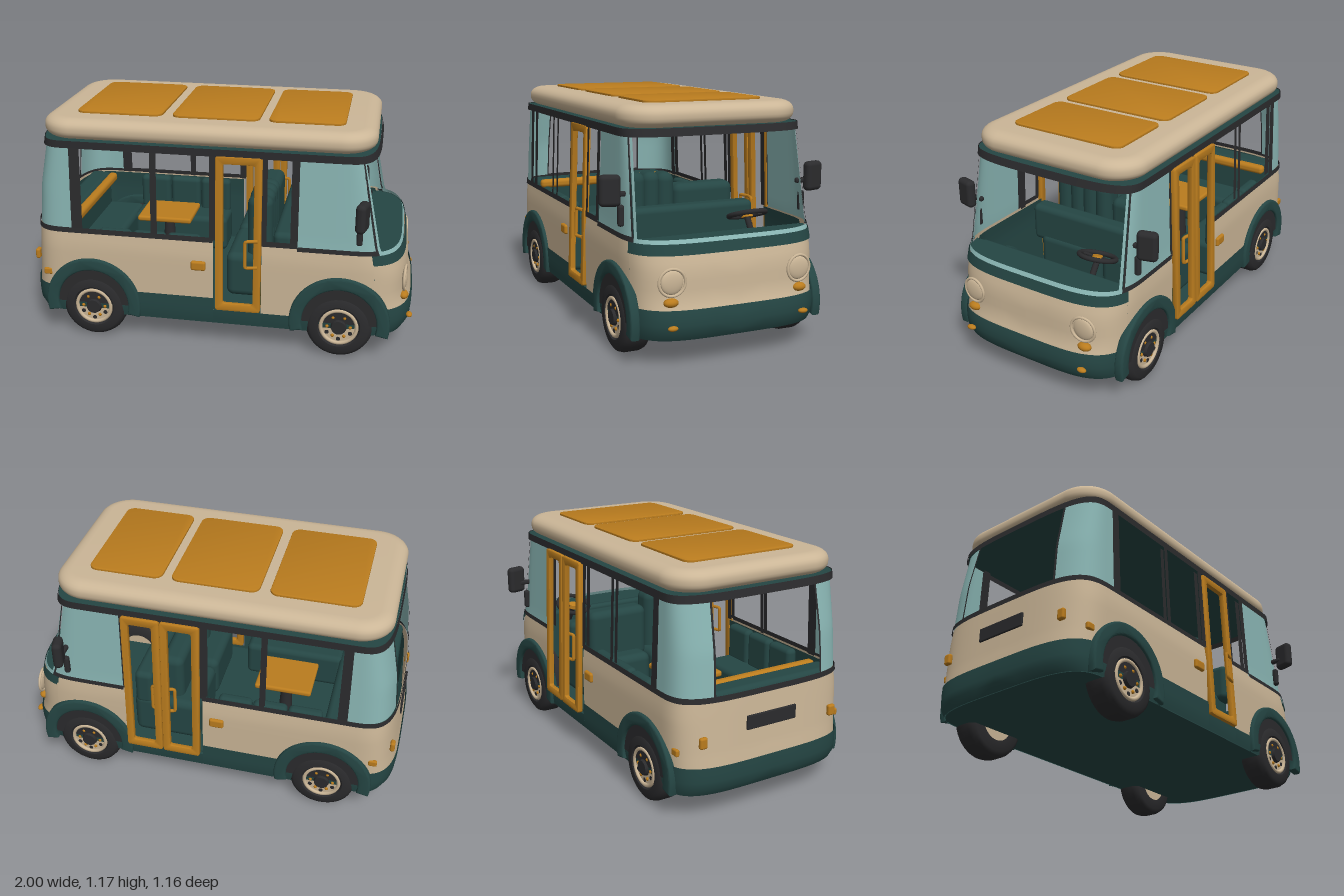
import * as THREE from 'three';
import { toCreasedNormals } from 'three/addons/utils/BufferGeometryUtils.js';
import { RoundedBoxGeometry } from 'three/addons/geometries/RoundedBoxGeometry.js';

const mat = (name, color) => new THREE.MeshStandardMaterial({ name, color, side: THREE.DoubleSide });

// Body profiles: [height, value]
const FRONT = [[0.13, 0.965], [0.17, 0.99], [0.265, 0.992], [0.29, 0.968], [0.45, 0.962], [0.57, 0.93], [0.6, 0.91], [1.06, 0.775]];
const REAR = [[0.13, 0.965], [0.17, 0.99], [0.265, 0.992], [0.29, 0.985], [0.57, 0.965], [0.8, 0.945], [1.06, 0.89]];
const WIDTH = [[0.13, 0.468], [0.18, 0.477], [0.5, 0.48], [0.6, 0.469], [1.06, 0.452]];
const XF = 0.6, XR = -0.72; // where the front and rear corners begin

function at(table, y) {
  if (y <= table[0][0]) return table[0][1];
  for (let i = 1; i < table.length; i++) {
    const [y0, v0] = table[i - 1], [y1, v1] = table[i];
    if (y <= y1) return v0 + (v1 - v0) * (y - y0) / (y1 - y0);
  }
  return table[table.length - 1][1];
}

// Point on the body outline: a is x along the side, then one more unit round each end to the centre line
function hull(a, y, side, off = 0) {
  const w = at(WIDTH, y) + off;
  const start = a > XF ? XF : a < XR ? XR : a;
  const t = Math.min(Math.abs(a - start), 1) * Math.PI / 2;
  const reach = a > XF ? at(FRONT, y) + off - XF : -(at(REAR, y) + off + XR);
  const c = Math.sqrt(Math.max(0, Math.cos(t))), s = Math.sqrt(Math.sin(t));
  return new THREE.Vector3(start + reach * s, y, side * w * c);
}

function stops(a0, a1) {
  const list = [a0, a1];
  for (let k = 0; k <= 24; k++) list.push(XF + k / 24, XR - k / 24);
  return [...new Set(list.filter(a => a >= a0 && a <= a1))].sort((p, q) => p - q);
}

// Curved wall patch between two heights
function wall(y0, y1, a0, a1, side, off) {
  const as = stops(a0, a1), rows = Math.max(1, Math.ceil((y1 - y0) / 0.04));
  const pos = [], idx = [], n = as.length;
  for (let r = 0; r <= rows; r++)
    for (const a of as) pos.push(...hull(a, y0 + (y1 - y0) * r / rows, side, off).toArray());
  for (let r = 0; r < rows; r++)
    for (let i = 0; i < n - 1; i++) {
      const p = r * n + i, q = p + n;
      if (side > 0) idx.push(p, p + 1, q, p + 1, q + 1, q);
      else idx.push(p, q, p + 1, p + 1, q, q + 1);
    }
  const g = new THREE.BufferGeometry();
  g.setAttribute('position', new THREE.Float32BufferAttribute(pos, 3));
  g.setIndex(idx);
  g.computeVertexNormals();
  return g;
}

// Horizontal plate following the body outline
function plate(y, thick, off, a0 = XR - 1, a1 = XF + 1) {
  const as = stops(a0, a1);
  const pts = [...as.map(a => hull(a, y, 1, off)), ...as.reverse().map(a => hull(a, y, -1, off))];
  const g = new THREE.ExtrudeGeometry(new THREE.Shape(pts.map(p => new THREE.Vector2(p.x, -p.z))), { depth: thick, bevelEnabled: false });
  return g.rotateX(-Math.PI / 2).translate(0, y, 0);
}

function roundRect(x0, y0, x1, y1, r, Kind = THREE.Shape) {
  const s = new Kind(), h = Math.PI / 2;
  s.absarc(x1 - r, y1 - r, r, 0, h);
  s.absarc(x0 + r, y1 - r, r, h, 2 * h);
  s.absarc(x0 + r, y0 + r, r, 2 * h, 3 * h);
  s.absarc(x1 - r, y0 + r, r, 3 * h, 4 * h);
  s.closePath();
  return s;
}

export function createModel() {
  const van = new THREE.Group();
  van.name = 'minibus';
  const cream = mat('cream paint', 0xcbb697), green = mat('dark green', 0x254644), gold = mat('amber', 0xba7c1e);
  const glass = mat('pale blue', 0x8ab6b4), black = mat('charcoal', 0x2b2b2d);
  const add = (name, geo, m, x = 0, y = 0, z = 0, parent = van) => {
    const mesh = new THREE.Mesh(geo, m);
    mesh.name = name;
    mesh.position.set(x, y, z);
    parent.add(mesh);
    return mesh;
  };
  const box = (name, m, sx, sy, sz, x, y, z, r = 0.015, parent = van) =>
    add(name, new RoundedBoxGeometry(sx, sy, sz, 3, Math.min(r, sx / 2.1, sy / 2.1, sz / 2.1)), m, x, y, z, parent);

  const END_F = XF + 1, END_R = XR - 1;
  for (const s of [1, -1]) {
    const doorEnd = s > 0 ? 0.245 : 0.41;
    const w = (name, m, y0, y1, a0, a1, off = 0) => add(name, wall(y0, y1, a0, a1, s, off), m);
    // Lower body
    w('skirt', green, 0.13, 0.275, END_R, 0, 0.006);
    w('doorSill', green, 0.13, 0.21, 0, doorEnd, 0.006);
    w('skirt', green, 0.13, s > 0 ? 0.21 : 0.275, doorEnd, 0.41, 0.006);
    w('skirt', green, 0.13, 0.275, 0.41, END_F, 0.006);
    for (const [m, off, base] of [[cream, 0, 0.2], [green, -0.02, 0.14]]) {
      const name = m === cream ? 'bodyPanel' : 'innerLining';
      w(name, m, base, 0.585, END_R, 0, off);
      w(name, m, base, 0.585, doorEnd, 0.8, off);
      w(name, m, base, 0.52, 0.8, END_F, off);
    }
    // Belt line, cowl edge and roof seal
    w('beltLine', black, 0.578, 0.605, END_R, 0, 0.006);
    w('beltLine', black, 0.578, 0.605, doorEnd, 0.42, 0.006);
    w('beltLine', black, 0.565, 0.588, 0.42, 0.86, 0.006);
    w('cowlBand', green, 0.515, 0.565, 0.8, END_F, 0.006);
    w('windscreenSill', glass, 0.563, 0.582, 0.86, END_F, 0.002);
    w('roofSeal', black, 1.025, 1.062, END_R, END_F, 0.012);
    // Corner glazing and pillars
    w('frontCornerGlass', glass, 0.575, 1.04, 0.42, 0.86);
    w('windscreenPillar', black, 0.56, 1.04, 0.855, 0.885, 0.005);
    w('windscreenEdge', glass, 0.565, 1.04, 0.885, 0.93);
    w('rearCornerGlass', glass, 0.6, 1.04, XR - 0.72, XR);
    w('rearWindowEdge', black, 0.6, 1.04, XR - 0.74, XR - 0.72, 0.003);
    for (const [a0, a1] of [[-0.722, -0.685], [-0.318, -0.292], [-0.02, 0.012], [0.385, 0.422]])
      for (const off of [0.004, -0.02]) w('windowPillar', black, 0.59, 1.04, a0, a1, off);
    if (s > 0) w('doorPost', black, 0.59, 1.04, 0.243, 0.268, 0.004);

    // Door leaves with pull handles
    const leaves = s > 0 ? [[0.012, 0.242, 0.19]] : [[0.012, 0.209, 0.175], [0.213, 0.408, 0.245]];
    for (const [x0, x1, hx] of leaves) {
      const leaf = new THREE.Group();
      leaf.name = 'doorLeaf';
      const shape = roundRect(x0 + 0.005, 0.005, x1 - 0.005, 0.81, 0.008);
      shape.holes.push(roundRect(x0 + 0.033, 0.035, x1 - 0.033, 0.78, 0.015, THREE.Path));
      const frame = new THREE.ExtrudeGeometry(shape, { depth: 0.018, bevelSize: 0.005, bevelThickness: 0.005, bevelSegments: 2, curveSegments: 4 });
      add('doorFrame', toCreasedNormals(frame.translate(0, 0, -0.014), 0.6), gold, 0, 0, 0, leaf);
      const dir = hx > (x0 + x1) / 2 ? 1 : -1;
      const pts = [[dir * 0.035, 0.25], [dir * -0.02, 0.25], [dir * -0.025, 0.26], [dir * -0.025, 0.38], [dir * -0.02, 0.39], [dir * 0.035, 0.39]];
      const curve = new THREE.CatmullRomCurve3(pts.map(([x, y], i) => new THREE.Vector3(hx + x, y, i % 5 ? 0.022 : 0.008)), false, 'catmullrom', 0.1);
      add('doorHandle', new THREE.TubeGeometry(curve, 30, 0.009, 8), gold, 0, 0, 0, leaf);
      leaf.position.set(0, 0.215, s * 0.488);
      leaf.rotation.x = -s * 0.036;
      if (s < 0) leaf.children.forEach(c => { c.position.z = -0.004; });
      van.add(leaf);
    }

    // Mirrors
    box('mirrorArm', black, 0.03, 0.1, 0.03, 0.72, 0.67, s * 0.475, 0.012);
    box('mirrorArm', black, 0.025, 0.025, 0.08, 0.72, 0.77, s * 0.48, 0.01);
    box('mirror', black, 0.05, 0.145, 0.1, 0.73, 0.79, s * 0.532, 0.022).rotation.y = s * -0.25;

    // Lamps and side catches
    const lamp = add('headlightRing', new THREE.TorusGeometry(0.062, 0.007, 8, 32), cream, 0.952, 0.4, s * 0.325);
    lamp.rotation.y = Math.PI / 2 + s * -0.1;
    const lens = add('headlight', new THREE.SphereGeometry(0.055, 24, 12), cream, 0.95, 0.4, s * 0.325);
    lens.scale.x = 0.25;
    const ball = (name, x, y, z, sx, sy, sz) => add(name, new THREE.SphereGeometry(1, 16, 10), gold, x, y, z).scale.set(sx, sy, sz);
    ball('turnSignal', 0.95, 0.308, s * 0.33, 0.025, 0.021, 0.036);
    ball('bumperLamp', 0.985, 0.2, s * 0.335, 0.016, 0.012, 0.025);
    box('tailLamp', gold, 0.025, 0.055, 0.04, -0.965, 0.4, s * 0.37, 0.01);
    box('rearMarker', gold, 0.045, 0.035, 0.02, -0.88, 0.345, s * 0.462, 0.008);
    box('sideCatch', gold, 0.075, 0.05, 0.025, -0.075, 0.45, s * 0.483, 0.011);

    // Wheels and arches
    for (const x of [-0.635, 0.64]) {
      const wheel = new THREE.Group();
      wheel.name = 'wheel';
      const tyre = [[0.09, 0], [0.145, 0], [0.162, 0.012], [0.17, 0.035], [0.17, 0.1], [0.162, 0.123], [0.145, 0.135], [0.108, 0.137], [0.095, 0.122], [0.09, 0]];
      add('tyre', toCreasedNormals(new THREE.LatheGeometry(tyre.map(p => new THREE.Vector2(...p)), 40).rotateX(Math.PI / 2), 0.8), black, 0, 0, 0, wheel);
      add('rim', new THREE.CylinderGeometry(0.096, 0.096, 0.125, 32).rotateX(Math.PI / 2), cream, 0, 0, 0.064, wheel);
      add('rimLip', new THREE.TorusGeometry(0.09, 0.01, 8, 36), cream, 0, 0, 0.128, wheel);
      add('hub', new THREE.CylinderGeometry(0.036, 0.042, 0.02, 20).rotateX(Math.PI / 2), black, 0, 0, 0.134, wheel);
      for (let k = 0; k < 6; k++) {
        const t = k * Math.PI / 3, u = t + Math.PI / 6;
        add('wheelNut', new THREE.SphereGeometry(0.009, 8, 6), gold, 0.058 * Math.cos(t), 0.058 * Math.sin(t), 0.128, wheel);
        add('rimSlot', new THREE.CylinderGeometry(0.011, 0.011, 0.004, 10).rotateX(Math.PI / 2), black, 0.068 * Math.cos(u), 0.068 * Math.sin(u), 0.127, wheel);
      }
      wheel.position.set(x, 0.172, s * 0.353);
      if (s < 0) wheel.rotation.y = Math.PI;
      van.add(wheel);
      add('wheelWell', new THREE.CylinderGeometry(0.2, 0.2, 0.1, 32, 1, false, -Math.PI / 2, Math.PI).rotateX(s * Math.PI / 2), black, x, 0.19, s * 0.434)
        .rotation.z = s > 0 ? Math.PI : 0;
      const arch = new THREE.Shape();
      arch.absarc(0, 0, 0.242, -0.2, Math.PI + 0.2, false);
      arch.absarc(0, 0, 0.198, Math.PI + 0.2, -0.2, true);
      const g = new THREE.ExtrudeGeometry(arch, { depth: 0.026, bevelSize: 0.01, bevelThickness: 0.01, bevelSegments: 3, curveSegments: 28 });
      add('wheelArch', toCreasedNormals(g.translate(0, 0, -0.013), 0.7), green, x, 0.19, s * 0.474);
    }
  }

  // Floor, ceiling and roof
  add('underside', plate(0.13, 0.02, 0), green);
  add('cabinFloor', plate(0.2, 0.01, -0.02), green);
  add('ceiling', plate(1.05, 0.01, 0.008), green);
  const roof = new THREE.ExtrudeGeometry(roundRect(-0.825, -0.39, 0.71, 0.39, 0.1), { depth: 0.015, bevelSize: 0.068, bevelThickness: 0.046, bevelSegments: 6, curveSegments: 10 });
  add('roof', toCreasedNormals(roof.rotateX(-Math.PI / 2), 0.7), cream, 0, 1.103, 0);
  for (const [x0, x1] of [[-0.73, -0.29], [-0.24, 0.2], [0.245, 0.62]]) {
    const panel = new THREE.ExtrudeGeometry(roundRect(x0 + 0.004, -0.306, x1 - 0.004, 0.306, 0.04), { depth: 0.006, bevelSize: 0.004, bevelThickness: 0.004, bevelSegments: 2, curveSegments: 6 });
    add('roofPanel', toCreasedNormals(panel.rotateX(-Math.PI / 2), 0.6), gold, 0, 1.165, 0);
  }
  box('rearPlate', black, 0.012, 0.07, 0.28, -0.977, 0.45, 0, 0.005);

  // Dashboard and steering wheel
  add('dashboard', plate(0.545, 0.018, -0.004, 0.74), green);
  box('dashFace', green, 0.06, 0.3, 0.88, 0.76, 0.41, 0, 0.02);
  add('steeringWheel', new THREE.TorusGeometry(0.09, 0.012, 10, 32).rotateX(Math.PI / 2), black, 0.66, 0.61, -0.21).rotation.z = 0.35;
  add('steeringHub', new THREE.CylinderGeometry(0.025, 0.03, 0.02, 16), gold, 0.66, 0.605, -0.21).rotation.z = 0.35;
  box('steeringSpoke', black, 0.015, 0.01, 0.17, 0.66, 0.607, -0.21, 0.004);
  const column = add('steeringColumn', new THREE.CylinderGeometry(0.015, 0.015, 0.15, 10), black, 0.7, 0.54, -0.21);
  column.rotation.z = 0.6;

  // Front seats
  box('passengerSeatBase', green, 0.36, 0.24, 0.38, 0.22, 0.345, 0.16, 0.04);
  box('driverSeatBase', green, 0.36, 0.24, 0.36, 0.22, 0.345, -0.22, 0.04);
  for (let k = 0; k < 4; k++) box('passengerSeatBack', green, 0.13, 0.36, 0.095, 0.21, k % 3 ? 0.6 : 0.593, 0.04 + k * 0.08, 0.045);
  box('driverSeatBack', green, 0.12, 0.29, 0.34, 0.2, 0.56, -0.18, 0.04);
  box('seatConsole', green, 0.1, 0.2, 0.8, 0.34, 0.52, 0, 0.03);

  // Rear lounge: benches, cushions and table
  box('rearBench', green, 0.28, 0.2, 0.84, -0.74, 0.31, 0, 0.03);
  box('rearBenchBack', green, 0.12, 0.36, 0.84, -0.86, 0.42, 0, 0.03);
  box('rearBenchTrim', gold, 0.05, 0.05, 0.8, -0.78, 0.575, 0, 0.02);
  for (const s of [1, -1]) {
    box('sideBench', green, 0.55, 0.2, 0.2, -0.34, 0.31, s * 0.34, 0.03);
    for (let k = 0; k < 3; k++) box('sideBenchBack', green, 0.175, 0.2, 0.06, -0.52 + k * 0.18, 0.49, s * 0.42, 0.025);
  }
  box('table', gold, 0.3, 0.03, 0.26, -0.36, 0.5, -0.08, 0.012);
  add('tableLeg', new THREE.CylinderGeometry(0.025, 0.04, 0.29, 14), black, -0.36, 0.35, -0.08);
  return van;
}
